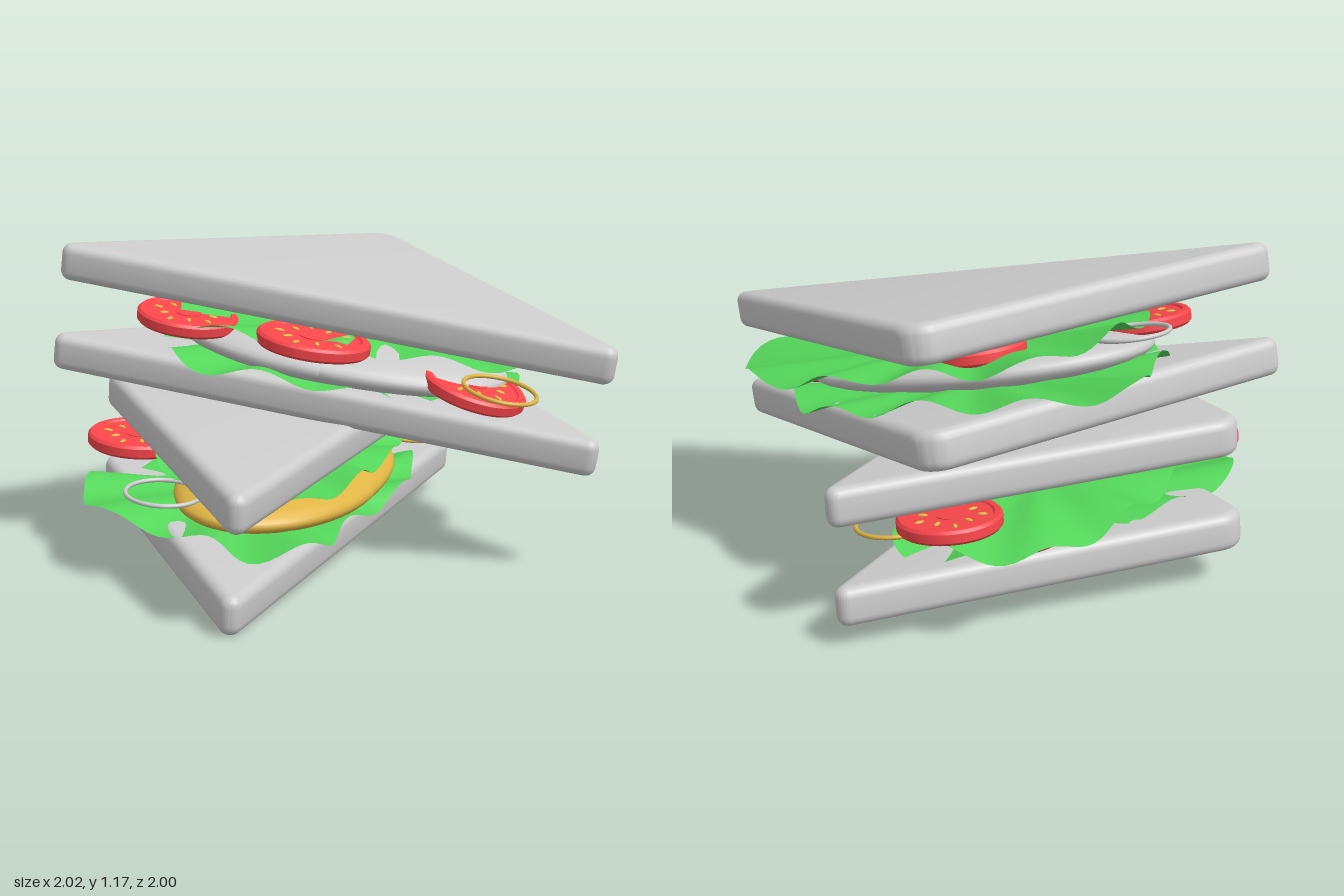
import * as THREE from 'three';
import { toCreasedNormals } from 'three/addons/utils/BufferGeometryUtils.js';

const mat = (color) => new THREE.MeshStandardMaterial({ color, side: THREE.DoubleSide });
const GREY = mat(0xcccccc), RED = mat(0xf8464a), GREEN = mat(0x54d65a), YELLOW = mat(0xdfb444);

function mesh(name, geometry, material) {
  const m = new THREE.Mesh(geometry, material);
  m.name = name;
  return m;
}

// Triangular bread slice: long edge on z = 0, square corner towards -z
function breadGeometry() {
  const w = 1.083, h = 1.135, r = 0.04, R = 0.1, bevel = 0.037, thick = 0.14, PI = Math.PI;
  const base = Math.atan2(h, w), side = PI / 2 - base;
  const c = w - r / Math.tan(base / 2);
  const s = new THREE.Shape();
  s.absarc(c, r, r, -PI / 2, side, false);
  s.absarc(0, h - R / Math.cos(base), R, side, PI - side, false);
  s.absarc(-c, r, r, PI - side, 3 * PI / 2, false);
  s.closePath();
  const g = new THREE.ExtrudeGeometry(s, {
    depth: thick - 2 * bevel, bevelEnabled: true, bevelThickness: bevel, bevelSize: bevel,
    bevelOffset: -bevel, bevelSegments: 5, curveSegments: 10,
  });
  g.translate(0, 0, bevel).rotateX(-PI / 2);
  return toCreasedNormals(g, 0.7);
}

// Ruffled leaf filled from its middle out to a smooth outline of [x, z, extra height]
function leafGeometry(outline, height, toLocal, phase) {
  const rings = 12, segs = 120;
  const curve = new THREE.CatmullRomCurve3(
    outline.map(([x, z, lift = 0]) => toLocal(x, z, height + lift)), true, 'centripetal');
  const rim = curve.getSpacedPoints(segs).slice(0, segs);
  const mid = new THREE.Vector3();
  rim.forEach((p) => mid.addScaledVector(p, 1 / segs));
  mid.y = height;
  const pos = [mid.x, mid.y, mid.z], idx = [];
  for (let i = 1; i <= rings; i++) {
    const t = i / rings;
    for (let j = 0; j < segs; j++) {
      const a = (j / segs) * Math.PI * 2;
      const p = mid.clone().lerp(rim[j], t * (1 + 0.01 * Math.sin(11 * a + phase) * t));
      const y = THREE.MathUtils.lerp(mid.y, rim[j].y, t * t * t);
      const wave = 0.024 * Math.sin(10 * a + phase + 2 * t) + 0.014 * Math.sin(4 * a + 2 * phase);
      pos.push(p.x, y + wave * t * t, p.z);
      const k = (j + 1) % segs, o = 1 + (i - 1) * segs, q = o - segs;
      if (i === 1) idx.push(0, o + k, o + j);
      else idx.push(q + j, q + k, o + j, q + k, o + k, o + j);
    }
  }
  const g = new THREE.BufferGeometry();
  g.setAttribute('position', new THREE.Float32BufferAttribute(pos, 3));
  g.setIndex(idx);
  g.computeVertexNormals();
  return g;
}

// Tomato slice with raised skin, sunken flesh, core and seeds on both faces
function tomato(r) {
  const g = new THREE.Group();
  g.name = 'tomatoSlice';
  const profile = [[0, -0.018], [0.82, -0.018], [0.85, -0.025], [0.95, -0.025], [1, -0.015],
    [1, 0.015], [0.95, 0.025], [0.85, 0.025], [0.82, 0.018], [0, 0.018]]
    .map(([x, y]) => new THREE.Vector2(x * r, y));
  g.add(mesh('tomatoFlesh', toCreasedNormals(new THREE.LatheGeometry(profile, 48), 0.5), RED));
  g.add(mesh('tomatoCore', new THREE.CylinderGeometry(0.25 * r, 0.25 * r, 0.042, 24), RED));
  const seed = new THREE.SphereGeometry(1, 10, 8).scale(0.1 * r, 0.006, 0.045 * r);
  for (let i = 0; i < 10; i++) {
    const a = (i / 10) * Math.PI * 2, d = (i % 2 ? 0.62 : 0.5) * r;
    for (const y of [-0.019, 0.019]) {
      const s = mesh('tomatoSeed', seed, YELLOW);
      s.position.set(Math.cos(a) * d, y, Math.sin(a) * d);
      s.rotation.y = -a;
      g.add(s);
    }
  }
  return g;
}

// Thin filling ring
function ring(material) {
  return mesh('onionRing', new THREE.TorusGeometry(0.135, 0.008, 10, 48).rotateX(Math.PI / 2), material);
}

// Thick oval filling with a flattened rim
function patty(material) {
  const pts = [];
  for (let i = 0; i <= 16; i++) {
    const a = -Math.PI / 2 + (i / 16) * Math.PI;
    pts.push(new THREE.Vector2(Math.pow(Math.max(0, Math.cos(a)), 0.6), Math.sin(a)));
  }
  const g = new THREE.LatheGeometry(pts, 64).scale(0.64, 0.075, 0.36);
  const p = g.attributes.position;
  for (let i = 0; i < p.count; i++) {
    const a = Math.atan2(p.getZ(i), p.getX(i)), k = 1 + 0.02 * Math.sin(3 * a + 1);
    p.setX(i, p.getX(i) * k);
    p.setZ(i, p.getZ(i) * k);
  }
  g.computeVertexNormals();
  return mesh('ovalFilling', g, material);
}

// One leaning sandwich: filling places are [x, z] seen from above plus height over the base
function sandwich(name, spec, bread) {
  const { mid, yaw, slope, filling } = spec;
  const g = new THREE.Group();
  g.name = name;
  const up = new THREE.Vector3(0, 1, 0);
  const normal = new THREE.Vector3(-slope[0], 1, -slope[1]).normalize();
  g.quaternion.setFromUnitVectors(up, normal)
    .multiply(new THREE.Quaternion().setFromAxisAngle(up, yaw));
  g.position.set(...mid);
  const toLocal = (x, z, h) =>
    new THREE.Vector3(x - mid[0] + slope[0] * h, 0, z - mid[2] + slope[1] * h)
      .applyAxisAngle(up, -yaw).setY(h);

  [0, 0.35].forEach((y, i) => {
    const b = mesh(i ? 'upperBread' : 'lowerBread', bread, GREY);
    b.position.y = y;
    g.add(b);
  });
  spec.leaves.forEach(([h, outline], i) =>
    g.add(mesh(i ? 'upperLettuce' : 'lowerLettuce', leafGeometry(outline, h, toLocal, i * 2 + yaw), GREEN)));
  const oval = patty(filling);
  oval.position.set(0, 0.207, -0.305);
  g.add(oval);
  const place = (o, [x, z, h, tiltX = 0, tiltZ = 0]) => {
    o.position.copy(toLocal(x, z, h));
    o.rotation.set(tiltX, 0, tiltZ);
    g.add(o);
  };
  spec.tomatoes.forEach(([r, ...at]) => place(tomato(r), at));
  spec.rings.forEach(([material, ...at]) => place(ring(material), at));
  return g;
}

export function createModel() {
  const model = new THREE.Group();
  model.name = 'sandwiches';
  const bread = breadGeometry();

  model.add(sandwich('bottomSandwich', {
    mid: [0.01, 0.035, 0.07], yaw: 0.213, slope: [0.0186, -0.107], filling: YELLOW,
    leaves: [
      [0.16, [[-0.79, -0.5], [-0.57, -0.77], [-0.1, -0.74], [0.35, -0.6], [0.62, -0.4], [0.67, -0.15],
        [0.3, 0.1], [-0.2, 0.17], [-0.5, 0.26], [-0.72, 0.16], [-0.7, -0.15]]],
      [0.29, [[0.72, -0.64, -0.04], [0.81, -0.46, -0.02], [0.62, -0.12], [0.1, 0.1], [-0.4, 0.18], [-0.6, 0],
        [-0.55, -0.4], [-0.25, -0.72], [0.25, -0.79, -0.06], [0.52, -0.74, -0.08]]],
    ],
    tomatoes: [[0.18, 0.68, -0.38, 0.315], [0.19, -0.41, -0.65, 0.32], [0.18, 0.36, -0.41, 0.165]],
    rings: [[GREY, -0.69, -0.28, 0.27], [YELLOW, 0.66, -0.12, 0.25]],
  }, bread));

  model.add(sandwich('topSandwich', {
    mid: [-0.18, 0.525, 0.01], yaw: -1.157, slope: [0.029, -0.191], filling: GREY,
    leaves: [
      [0.16, [[0.69, 0.1], [0.58, 0.42], [0.3, 0.53], [0, 0.3], [-0.28, 0], [-0.45, -0.35],
        [-0.25, -0.65], [0.08, -0.78], [0.25, -0.86], [0.4, -0.7], [0.6, -0.42]]],
      [0.295, [[0.42, 0.73], [0.63, 0.62, -0.02], [0.71, 0.22, -0.03], [0.64, -0.2, -0.03], [0.58, -0.6, 0.02],
        [0.2, -0.7, 0.02], [-0.2, -0.6], [-0.4, -0.4], [-0.28, 0], [0, 0.25], [0.18, 0.52]]],
    ],
    tomatoes: [[0.2, 0.17, 0.48, 0.205, 0, -0.16], [0.21, -0.17, 0, 0.295, -0.06, 0],
      [0.19, -0.29, -0.5, 0.265], [0.17, 0.38, -0.27, 0.305]],
    rings: [[YELLOW, 0.13, 0.62, 0.245, 0, -0.06], [GREY, 0.05, -0.68, 0.295]],
  }, bread));
  return model;
}
